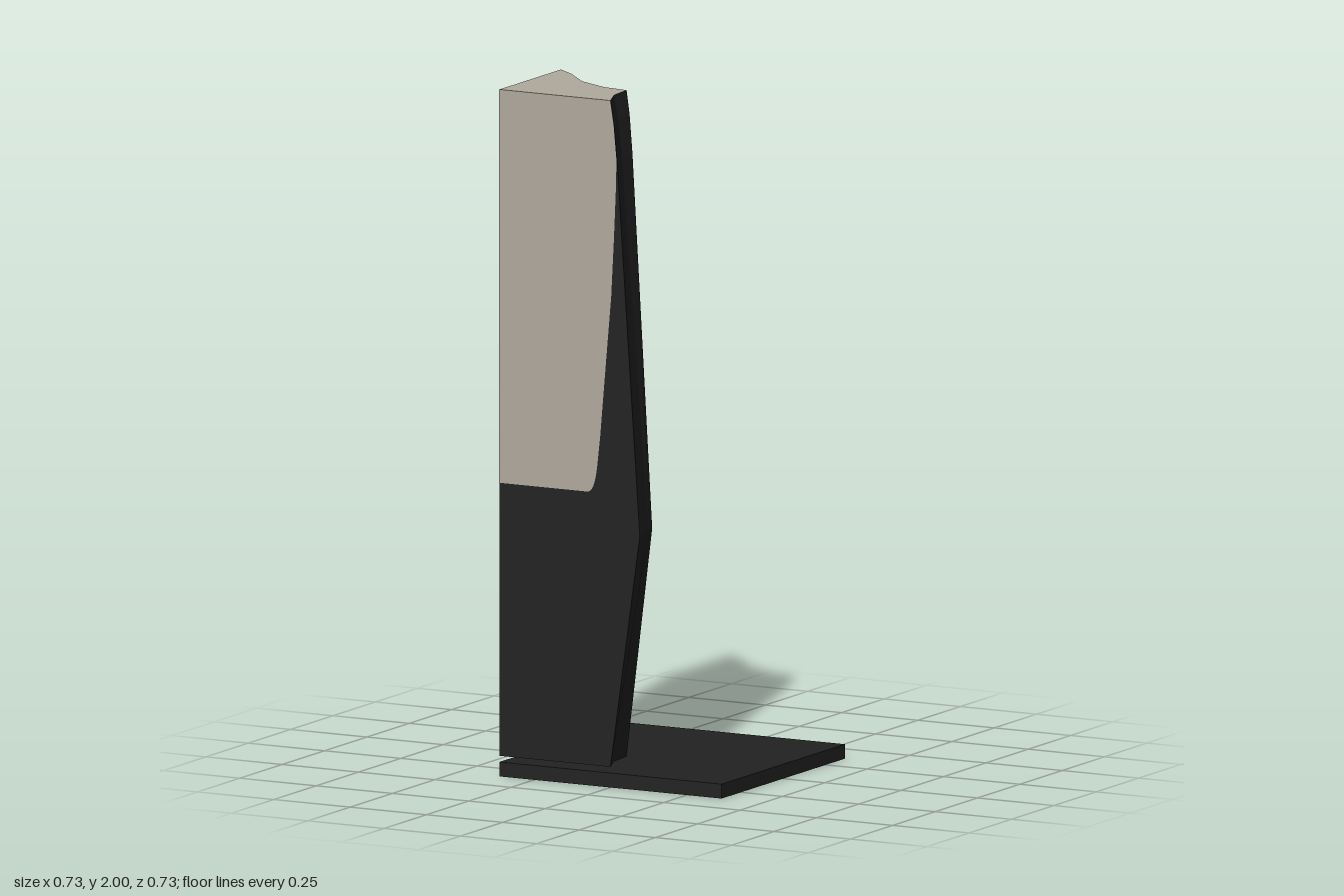
import * as THREE from 'three';

const H = 0.364; // half width of the base
const BOTTOM = 0.06, TOP = 2;

// Inner wall of the column in plan [x, z]: narrow at the ends, swollen at the waist
const narrow = [[0, H], [-0.033, 0.283], [-0.04, 0.197], [-0.04, 0.197],
  [-0.12, 0.185], [-0.22, 0.135], [-0.305, 0.045], [-H, 0]];
const waist = [[0.096, H], [0.073, 0.27], [0.065, 0.235], [0.03, 0.232],
  [-0.105, 0.075], [-0.16, 0.05], [-0.25, -0.04], [-H, -0.098]];
// [height, swell amount]
const levels = [[BOTTOM, 0], [0.74, 1], [1.82, 0.23], [1.93, 0.12], [TOP, 0]];

function ring([y, t]) {
  const pts = narrow.map(([x, z], i) => new THREE.Vector3(
    THREE.MathUtils.lerp(x, waist[i][0], t), y, THREE.MathUtils.lerp(z, waist[i][1], t)));
  pts.push(new THREE.Vector3(-H, y, H));
  return pts;
}

// Walls between successive cross-sections, with separate corners for flat facets
function columnWalls() {
  const rings = levels.map(ring), tris = [];
  for (let k = 0; k < rings.length - 1; k++) {
    const lo = rings[k], hi = rings[k + 1];
    for (let i = 0; i < lo.length; i++) {
      const j = (i + 1) % lo.length;
      tris.push(lo[i], lo[j], hi[j], lo[i], hi[j], hi[i]);
    }
  }
  const geo = new THREE.BufferGeometry().setFromPoints(tris);
  geo.computeVertexNormals();
  return geo;
}

// Flat end of the column, facing up (dir 1) or down (dir -1)
function endCap(y, dir) {
  const pts = narrow.filter((p, i) => i !== 3).concat([[-H, H]]);
  const shape = new THREE.Shape(pts.map(([x, z]) => new THREE.Vector2(x, -dir * z)));
  return new THREE.ShapeGeometry(shape).rotateX(-dir * Math.PI / 2).translate(0, y, 0);
}

// Pale panel outline with a tapering edge and rounded lower corner
function panel(mirror) {
  const s = new THREE.Shape();
  s.moveTo(-H * mirror, 0.855);
  s.lineTo(-0.075 * mirror, 0.855);
  s.quadraticCurveTo(-0.052 * mirror, 0.855, -0.043 * mirror, 0.93);
  for (const [x, y] of [[-0.033, 1.02], [-0.02, 1.17], [0.003, 1.43], [0.012, 1.6],
    [0.019, 1.76], [0.02, 1.83], [0.011, 1.93], [0, TOP], [-H, TOP]]) s.lineTo(x * mirror, y);
  s.closePath();
  return new THREE.ShapeGeometry(s, 8);
}

export function createModel() {
  const group = new THREE.Group();
  const dark = new THREE.MeshStandardMaterial({ color: 0x222222 });
  dark.name = 'charcoal';
  const pale = new THREE.MeshStandardMaterial({ color: 0xb1a99d });
  pale.name = 'warmStone';
  const add = (name, geo, mat) => {
    const mesh = new THREE.Mesh(geo, mat);
    mesh.name = name;
    group.add(mesh);
    return mesh;
  };

  // Square base plate
  add('basePlate', new THREE.BoxGeometry(2 * H, 0.042, 2 * H), dark).position.y = 0.021;

  // Column standing over one corner
  add('columnWalls', columnWalls(), dark);
  add('columnBottom', endCap(BOTTOM, -1), dark);
  add('columnTop', endCap(TOP, 1), pale);

  // Pale panels on the two outer faces
  add('frontPanel', panel(1).translate(0, 0, H + 0.001), pale);
  add('sidePanel', panel(-1).rotateY(-Math.PI / 2).translate(-H - 0.001, 0, 0), pale);

  return group;
}
